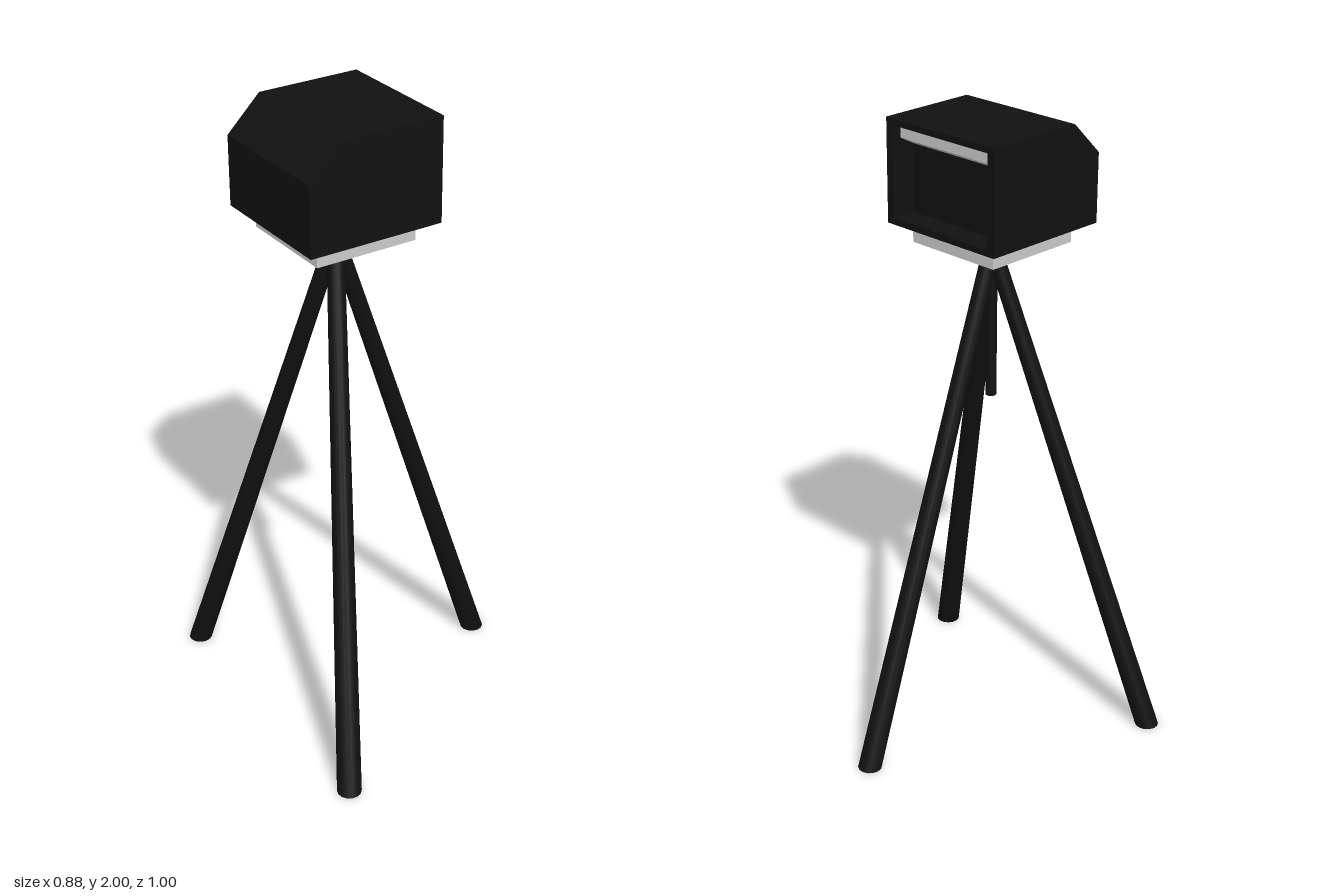
import * as THREE from 'three';

const black = new THREE.MeshStandardMaterial({ color: 0x111111 });
const grey = new THREE.MeshStandardMaterial({ color: 0xcccccc });

const AXIS_X = -0.14; // the column, plate and head share this axis
const HALF = 0.217; // half width of the head
const INNER = 0.19; // half width of the recess in the head
const LEFT = AXIS_X - HALF, RIGHT = AXIS_X + HALF;
const BACK = RIGHT - 0.08; // back wall of the recess

function add(parent, name, geometry, material, x = 0, y = 0, z = 0) {
  const mesh = new THREE.Mesh(geometry, material);
  mesh.name = name;
  mesh.position.set(x, y, z);
  parent.add(mesh);
  return mesh;
}

// Extrudes an x-y outline along z between two depths.
function slab(points, z0, z1) {
  const shape = new THREE.Shape(points.map(([x, y]) => new THREE.Vector2(x, y)));
  const geometry = new THREE.ExtrudeGeometry(shape, { depth: z1 - z0, bevelEnabled: false });
  return geometry.translate(0, 0, z0);
}

// Tapered leg, sheared outward so that both of its ends stay level.
function legGeometry() {
  const height = 1.575, topOffset = 0.012, footOffset = 0.536;
  const geometry = new THREE.CylinderGeometry(0.026, 0.038, height, 14);
  geometry.translate(0, height / 2, 0);
  const shear = new THREE.Matrix4().set(
    1, (topOffset - footOffset) / height, 0, footOffset,
    0, 1, 0, 0,
    0, 0, 1, 0,
    0, 0, 0, 1);
  return geometry.applyMatrix4(shear);
}

export function createModel() {
  const model = new THREE.Group();
  model.name = 'tripodInstrument';

  // Tripod: three legs around a short central column
  const tripod = new THREE.Group();
  tripod.name = 'tripod';
  tripod.position.x = AXIS_X;
  model.add(tripod);
  const leg = legGeometry();
  for (let i = 0; i < 3; i++) {
    add(tripod, 'leg' + (i + 1), leg, black).rotation.y = i * Math.PI * 2 / 3;
  }
  add(tripod, 'columnNeck', new THREE.CylinderGeometry(0.023, 0.023, 0.1, 16), black, 0, 1.572, 0);
  add(tripod, 'centreColumn', new THREE.CylinderGeometry(0.017, 0.017, 0.45, 16), black, 0, 1.35, 0);

  // Mounting plate
  add(model, 'mountingPlate', new THREE.BoxGeometry(0.33, 0.04, 0.33), grey, AXIS_X, 1.64, 0);

  // Head: chamfered housing with a recess on its +x side
  const head = new THREE.Group();
  head.name = 'head';
  model.add(head);
  const base = [[LEFT, 1.68], [RIGHT, 1.68]];
  const top = [[RIGHT, 2], [LEFT + 0.107, 2], [LEFT, 1.895]];
  const notch = [[RIGHT, 1.7], [BACK, 1.7], [BACK, 1.98], [RIGHT, 1.98]];
  add(head, 'housing', slab([...base, ...notch, ...top], -INNER, INNER), black);
  for (const [name, z0, z1] of [['frontCheek', INNER, HALF], ['backCheek', -HALF, -INNER]]) {
    add(head, name, slab([...base, ...top], z0, z1), black);
  }

  // Underside, tapering in towards the plate
  const taper = new THREE.CylinderGeometry(HALF * Math.SQRT2, 0.155 * Math.SQRT2, 0.02, 4, 1).toNonIndexed();
  taper.rotateY(Math.PI / 4);
  taper.computeVertexNormals();
  add(head, 'taperedUnderside', taper, black, AXIS_X, 1.67, 0);

  // Light bar under the top edge of the recess, with a sloping lower face
  const bar = [[BACK, 1.91], [RIGHT - 0.03, 1.937], [RIGHT - 0.03, 1.98], [BACK, 1.98]];
  add(head, 'lightBar', slab(bar, -INNER, INNER), grey);

  return model;
}
